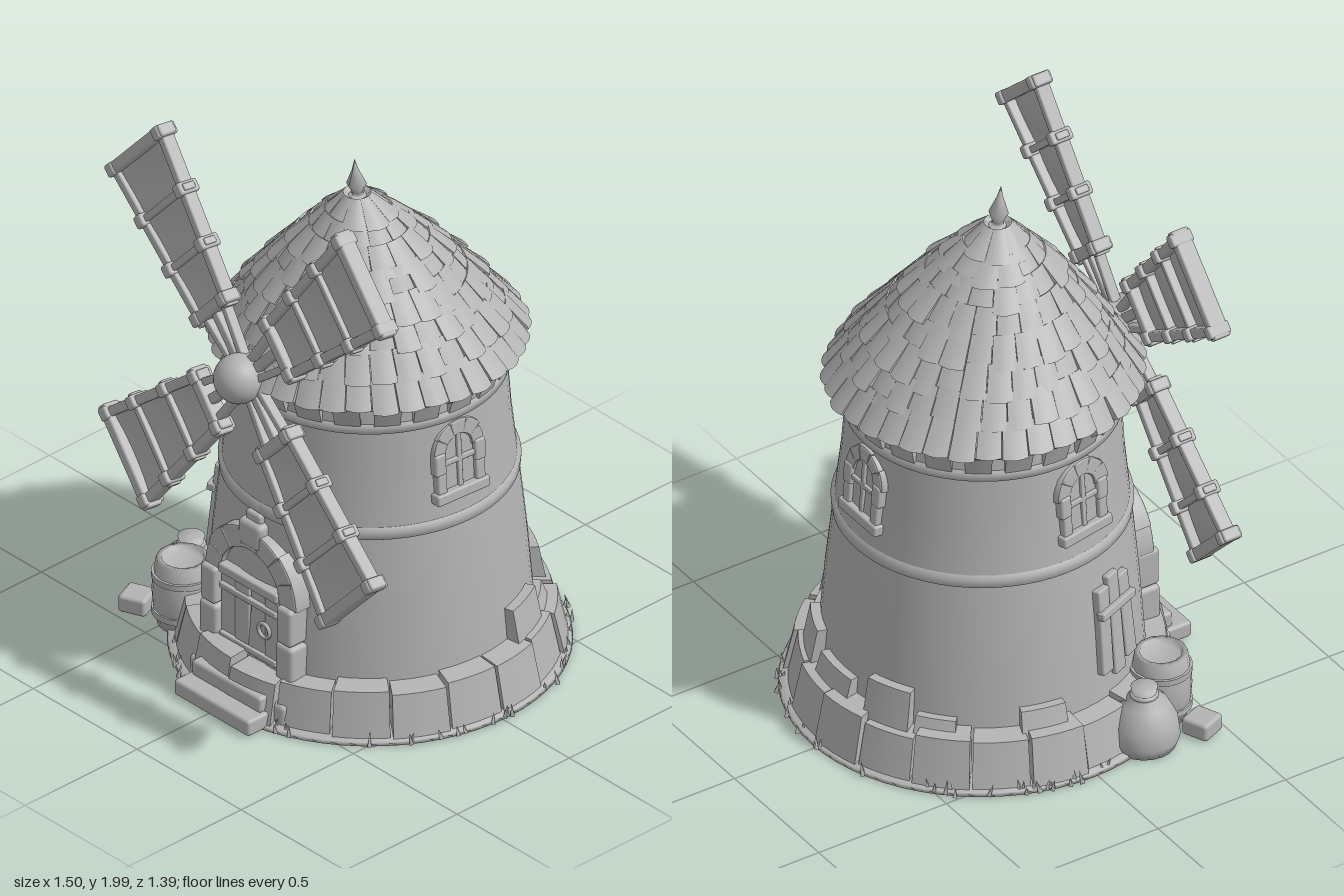
import * as THREE from 'three';
import { RoundedBoxGeometry } from 'three/addons/geometries/RoundedBoxGeometry.js';

const TAU = Math.PI * 2;

export function createModel() {
  const model = new THREE.Group();
  model.name = 'windmill';
  const clay = new THREE.MeshStandardMaterial({ color: 0xb4b4b4, side: THREE.DoubleSide });
  clay.name = 'grey clay';

  let seed = 7;
  const rand = (a, b) => {
    seed = (seed * 16807) % 2147483647;
    return a + (b - a) * (seed / 2147483647);
  };
  const group = (name, parent = model) => {
    const g = new THREE.Group();
    g.name = name;
    parent.add(g);
    return g;
  };
  const add = (parent, name, geo, x = 0, y = 0, z = 0) => {
    const m = new THREE.Mesh(geo, clay);
    m.name = name;
    m.position.set(x, y, z);
    parent.add(m);
    return m;
  };
  const block = (w, h, d) => new RoundedBoxGeometry(w, h, d, 2, Math.min(w, h, d) * 0.2);

  // The tower is nearly upright; the roof tip leans forward
  const axis = (y) => [0.02 + 0.019 * y, -0.02 + 0.02 * y + 0.09 * Math.max(0, y - 1.2)];
  const lean = (geo) => {
    const p = geo.attributes.position;
    for (let i = 0; i < p.count; i++) {
      const [cx, cz] = axis(p.getY(i));
      p.setX(i, p.getX(i) + cx);
      p.setZ(i, p.getZ(i) + cz);
    }
    geo.computeVertexNormals();
    return geo;
  };
  const lathe = (pts, n = 64) => new THREE.LatheGeometry(pts.map(([r, y]) => new THREE.Vector2(r, y)), n);

  // Curved block between two angles; corners are [r, y]: inner/outer bottom, inner/outer top
  const wedge = (a0, a1, ib, ob, it, ot, bulge = 0) => {
    const geo = new THREE.BoxGeometry(1, 1, 1, 4, 1, 1);
    const p = geo.attributes.position;
    const mix = THREE.MathUtils.lerp;
    for (let i = 0; i < p.count; i++) {
      const u = p.getX(i) + 0.5, v = p.getY(i) + 0.5, w = p.getZ(i) + 0.5;
      const a = mix(a0, a1, u);
      const r = mix(mix(ib[0], ob[0], w), mix(it[0], ot[0], w), v) + bulge * w * (1 - v) * Math.sin(u * Math.PI);
      const y = mix(mix(ib[1], ob[1], w), mix(it[1], ot[1], w), v);
      p.setXYZ(i, r * Math.sin(a), y, r * Math.cos(a));
    }
    return lean(geo);
  };

  // Half-ring of arch stones standing in the xy plane
  const arch = (parent, name, rIn, rOut, depth, n, y, z) => {
    for (let i = 0; i < n; i++) {
      const a0 = (i / n) * Math.PI + 0.02, a1 = ((i + 1) / n) * Math.PI - 0.02;
      const R = rOut + rand(-0.008, 0.008);
      const s = new THREE.Shape();
      s.absarc(0, 0, R, a0, a1, false);
      s.absarc(0, 0, rIn, a1, a0, true);
      add(parent, name, new THREE.ExtrudeGeometry(s, {
        depth: depth - 0.02, bevelSize: 0.006, bevelThickness: 0.01, bevelSegments: 2, curveSegments: 4,
      }), 0, y, z);
    }
  };

  // Square beam between two points
  const beam = (parent, name, a, b, t, d = t) => {
    const p = new THREE.Vector3(...a), q = new THREE.Vector3(...b);
    const m = add(parent, name, block(t, p.distanceTo(q), d));
    m.position.copy(p).add(q).multiplyScalar(0.5);
    m.quaternion.setFromUnitVectors(new THREE.Vector3(0, 1, 0), q.sub(p).normalize());
  };

  // Ground and tower wall
  add(model, 'ground', lean(lathe([[0, 0], [0.665, 0], [0.66, 0.012], [0.62, 0.025], [0, 0.025]])));
  add(model, 'towerWall', lean(lathe([[0.55, 0.02], [0.535, 0.2], [0.515, 0.45], [0.487, 0.72], [0.465, 0.92], [0.445, 1.22]])));
  add(model, 'belt', lean(lathe([[0.48, 0.695], [0.495, 0.705], [0.497, 0.735], [0.48, 0.75]])));
  add(model, 'upperBand', lean(lathe([[0.44, 1.09], [0.46, 1.1], [0.462, 1.13], [0.44, 1.14]])));

  // Stone footing, with a broken second course
  const footing = group('footing');
  const stones = 20;
  for (let i = 0; i < stones; i++) {
    const a = (i / stones) * TAU, b = a + TAU / stones - 0.015;
    const h = 0.17 + rand(-0.012, 0.015), o = rand(-0.012, 0.012);
    add(footing, 'footingStone', wedge(a, b, [0.5, 0.01], [0.645 + o, 0.01], [0.5, h + 0.01], [0.61 + o, h]));
  }
  for (const [deg, span, top] of [[104, 18, 0.3], [124, 14, 0.22], [146, 17, 0.3], [167, 20, 0.25], [195, 17, 0.3], [214, 14, 0.22], [250, 16, 0.25]]) {
    const a = THREE.MathUtils.degToRad(deg), b = a + THREE.MathUtils.degToRad(span);
    add(footing, 'upperStone', wedge(a, b, [0.48, 0.15], [0.588, 0.15], [0.48, top], [0.56, top]));
  }

  // Grass tufts round the foot
  const grass = group('grass');
  for (let i = 0; i < 90; i++) {
    const a = rand(0, TAU), r = rand(0.64, 0.672), h = rand(0.03, 0.055);
    const m = add(grass, 'grassBlade', new THREE.ConeGeometry(0.01, h, 4), 0.02 + r * Math.sin(a), h / 2, -0.02 + r * Math.cos(a));
    m.rotation.set(rand(-0.3, 0.3), 0, rand(-0.3, 0.3));
  }

  // Corbels under the eave
  const corbels = group('corbels');
  for (let i = 0; i < 22; i++) {
    const a = (i / 22) * TAU;
    add(corbels, 'corbel', wedge(a, a + 0.19, [0.42, 1.13], [0.46, 1.13], [0.42, 1.22], [0.49, 1.22]));
  }

  // Roof core and overlapping shingle rows
  const roof = group('roof');
  const rows = [[0.515, 1.228], [0.458, 1.305], [0.402, 1.38], [0.345, 1.452], [0.288, 1.522], [0.23, 1.59], [0.172, 1.65], [0.115, 1.705], [0.05, 1.765]];
  add(roof, 'roofCore', lean(lathe([[0.42, 1.2], [0.5, 1.215], ...rows.slice(1).map(([r, y]) => [r - 0.015, y]), [0, 1.775]])));
  for (let k = 0; k < rows.length - 1; k++) {
    const [r, y] = rows[k], [r2, y2] = rows[k + 1];
    const n = Math.max(9, Math.round((TAU * r) / 0.088));
    for (let i = 0; i < n; i++) {
      const a = ((i + (k % 2) / 2) / n) * TAU, b = a + TAU / n - 0.006;
      const d = rand(-0.014, 0.01), o = rand(0, 0.014);
      add(roof, 'shingle', wedge(a, b, [r - 0.02, y + d - 0.022], [r + 0.004 + o, y + d], [r2 - 0.03, y2], [r2 - 0.004, y2 + 0.02], 0.01));
    }
  }
  add(roof, 'finial', lean(lathe([[0.075, 1.735], [0.06, 1.765], [0.022, 1.775], [0.018, 1.785], [0.034, 1.82], [0.012, 1.875], [0, 1.92]], 8)));

  // Arched windows on three sides, measured from their middle
  for (const deg of [86, 180, 281]) {
    const a = THREE.MathUtils.degToRad(deg);
    const w = group('window');
    const [cx, cz] = axis(0.94);
    w.position.set(cx + 0.444 * Math.sin(a), 0.94, cz + 0.444 * Math.cos(a));
    w.rotation.set(-0.07, a, 0, 'YXZ');
    arch(w, 'windowArch', 0.06, 0.105, 0.06, 5, 0.04, -0.02);
    for (const s of [-1, 1]) {
      add(w, 'windowJamb', block(0.046, 0.08, 0.07), s * 0.083, 0.01, 0.002);
      add(w, 'windowJamb', block(0.038, 0.08, 0.065), s * 0.08, -0.065, 0.004);
    }
    add(w, 'windowSill', block(0.22, 0.04, 0.08), 0, -0.115, 0.006);
    add(w, 'windowPane', new THREE.BoxGeometry(0.13, 0.19, 0.03), 0, -0.005, 0.005);
    add(w, 'windowBar', block(0.018, 0.2, 0.03), 0, 0, 0.016);
    add(w, 'windowBar', block(0.13, 0.018, 0.03), 0, 0.005, 0.016);
  }

  // Doorway
  const door = group('doorway');
  door.position.x = 0.02;
  arch(door, 'doorArch', 0.145, 0.215, 0.16, 7, 0.43, 0.37);
  add(door, 'keystone', block(0.11, 0.1, 0.12), 0, 0.63, 0.465);
  add(door, 'keystoneCap', block(0.07, 0.05, 0.1), 0, 0.685, 0.455);
  for (const s of [-1, 1]) {
    for (let i = 0; i < 3; i++) {
      add(door, 'doorJamb', block(0.07 + (i % 2) * 0.012, 0.14, 0.18), s * 0.182, 0.08 + i * 0.142, 0.45);
    }
    add(door, 'jambFoot', block(0.085, 0.09, 0.2), s * 0.185, 0.045, 0.48);
  }
  for (let i = 0; i < 4; i++) {
    add(door, 'doorPlank', block(0.07, 0.34, 0.04), -0.108 + i * 0.072, 0.28, 0.495 + (i % 2) * 0.005);
  }
  add(door, 'transom', block(0.28, 0.035, 0.06), 0, 0.445, 0.5);
  add(door, 'fanlight', new THREE.CylinderGeometry(0.15, 0.15, 0.04, 24), 0, 0.44, 0.475).rotation.x = Math.PI / 2;
  for (const y of [0.19, 0.38]) add(door, 'doorStrap', block(0.27, 0.022, 0.02), 0, y, 0.52);
  add(door, 'doorRing', new THREE.TorusGeometry(0.026, 0.007, 8, 20), 0.08, 0.3, 0.527);
  add(door, 'lowerStep', block(0.36, 0.06, 0.2), 0, 0.03, 0.59);
  add(door, 'upperStep', block(0.33, 0.06, 0.14), 0, 0.085, 0.555);

  // Sails: tilted rotor with four braced frames
  const rotor = group('rotor');
  rotor.position.set(0.004, 1.24, 0.513);
  rotor.rotation.set(-0.085, -0.08, 0);
  add(rotor, 'hub', new THREE.SphereGeometry(0.085, 28, 18), 0, 0, 0.035);
  const collar = add(rotor, 'hubCollar', new THREE.CylinderGeometry(0.075, 0.085, 0.08, 20), 0, 0, -0.02);
  const shaft = add(rotor, 'shaft', new THREE.CylinderGeometry(0.045, 0.05, 0.3, 16), 0, 0, -0.16);
  collar.rotation.x = shaft.rotation.x = Math.PI / 2;
  const half = (r) => 0.09 + (r - 0.24) * 0.122;
  for (const [deg, length] of [[-42.5, 0.845], [48, 0.85], [135.5, 0.815], [227, 0.845]]) {
    const sail = group('sail', rotor);
    sail.rotation.z = THREE.MathUtils.degToRad(deg);
    beam(sail, 'spar', [0, 0.03, 0], [0, 0.27, 0], 0.035);
    for (const s of [-1, 1]) {
      beam(sail, 'strut', [s * 0.03, 0.04, 0], [s * 0.07, 0.27, 0], 0.026, 0.035);
      beam(sail, 'rail', [s * half(0.22), 0.22, 0], [s * half(length), length, 0], 0.034, 0.05);
    }
    [0.25, 0.44, 0.63, length - 0.02].forEach((r, i) => {
      const t = i % 3 ? 0.024 : 0.042;
      add(sail, 'crossbar', block(half(r) * 2 + 0.06, t, t + 0.022), 0, r, 0.002);
      for (const s of [-1, 1]) add(sail, 'joint', block(0.045, 0.045, 0.08), s * half(r), r, 0);
    });
    // Cloth billows between the crossbars
    const cloth = new THREE.PlaneGeometry(2, length - 0.27, 8, 18);
    const p = cloth.attributes.position;
    for (let i = 0; i < p.count; i++) {
      const r = p.getY(i) + length / 2 + 0.115, u = p.getX(i);
      p.setXYZ(i, u * half(r), r, 0.01 - 0.015 * (1 - u * u) * Math.abs(Math.sin(((r - 0.25) / 0.193) * Math.PI)));
    }
    cloth.computeVertexNormals();
    add(sail, 'cloth', cloth);
  }

  // Barrel, sack, loose stone and leaning boards beside the door
  const barrel = group('barrel');
  barrel.position.set(-0.465, 0, 0.365);
  add(barrel, 'barrelBody', lathe([[0, 0], [0.085, 0], [0.1, 0.07], [0.104, 0.12], [0.1, 0.18], [0.088, 0.25], [0.07, 0.25], [0.068, 0.225], [0, 0.225]], 14));
  for (const y of [0.055, 0.19]) add(barrel, 'barrelHoop', new THREE.CylinderGeometry(0.104, 0.104, 0.022, 28), 0, y, 0);
  const sack = group('sack');
  sack.position.set(-0.57, 0, 0.23);
  add(sack, 'sackBody', lathe([[0, 0], [0.105, 0], [0.12, 0.04], [0.112, 0.1], [0.08, 0.165], [0.04, 0.195], [0.045, 0.225], [0, 0.22]], 20));
  add(sack, 'sackTie', new THREE.TorusGeometry(0.04, 0.009, 8, 18), 0, 0.195, 0).rotation.x = Math.PI / 2;
  add(model, 'looseStone', block(0.1, 0.065, 0.1), -0.625, 0.0325, 0.42).rotation.y = 0.4;
  const boards = group('boards');
  boards.position.set(-0.438, 0.43, 0.185);
  boards.rotation.set(-0.09, THREE.MathUtils.degToRad(-67), 0, 'YXZ');
  for (let i = -1; i <= 1; i++) {
    add(boards, 'board', block(0.06, 0.38 - Math.abs(i) * 0.06, 0.035), i * 0.062, 0, 0.01).rotation.z = i * 0.04;
  }
  add(boards, 'boardBrace', block(0.19, 0.03, 0.03), 0, 0.07, 0.03);

  return model;
}
